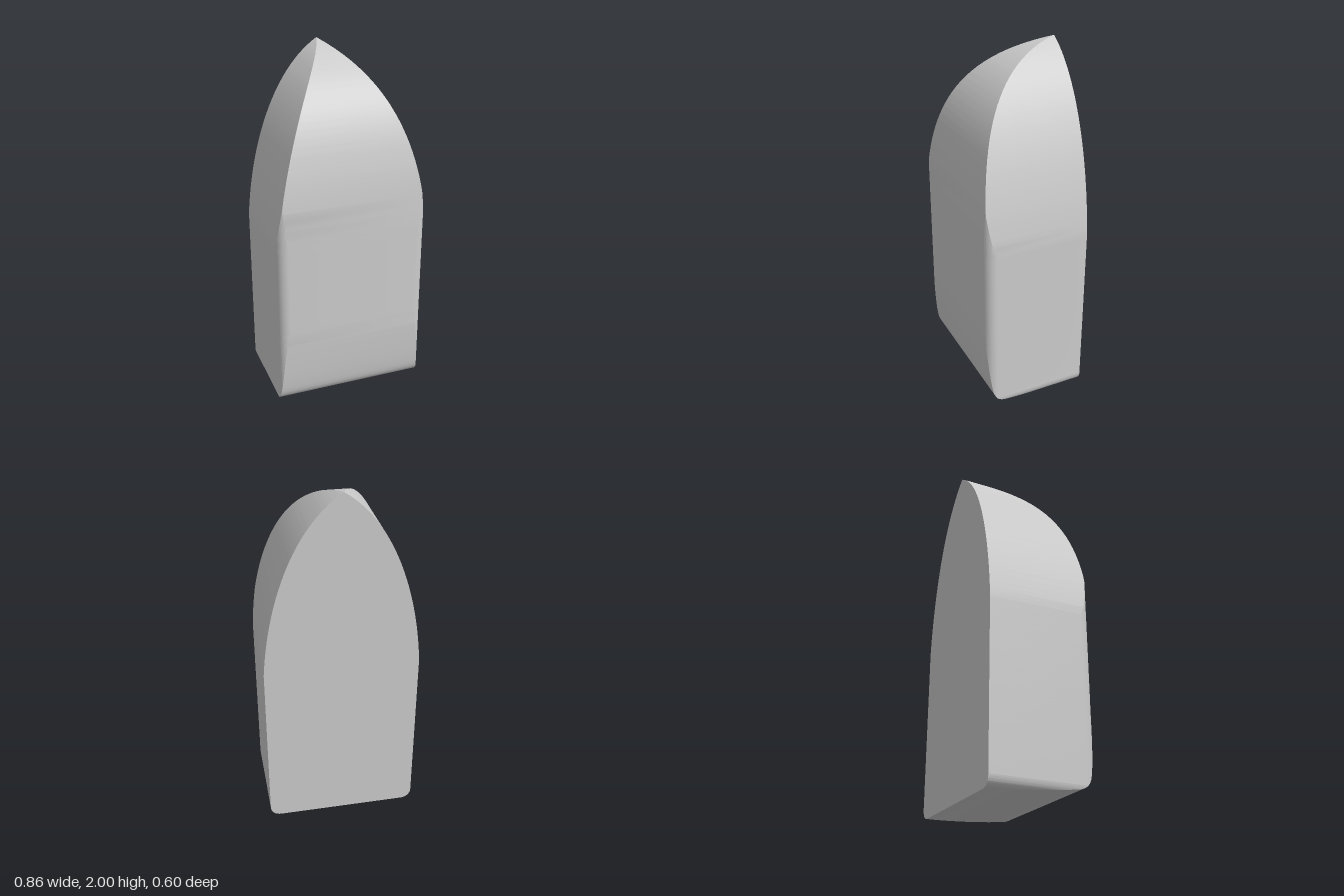
import * as THREE from 'three';
import { toCreasedNormals } from 'three/addons/utils/BufferGeometryUtils.js';

const v = (x, y) => new THREE.Vector2(x, y);
const BACK = -0.3, HALF = 0.43, FRONT = 0.3, R = 0.06, ARC = 8;

// Sample joined curves (value, height) into one rising polyline
function profile(curves, n) {
  return curves.flatMap((c, i) => c.getPoints(n).slice(i ? 1 : 0));
}

// Value of a profile at height y
function at(points, y) {
  for (let i = 1; i < points.length; i++) {
    const a = points[i - 1], b = points[i];
    if (y <= b.y) return a.x + (b.x - a.x) * THREE.MathUtils.clamp((y - a.y) / (b.y - a.y), 0, 1);
  }
  return points[points.length - 1].x;
}

// Pointed arch seen from the front: half width by height
const widths = profile([
  new THREE.QuadraticBezierCurve(v(HALF - R, 0), v(HALF - 0.004, 0.004), v(HALF, R)),
  new THREE.LineCurve(v(HALF, R), v(HALF, 1)),
  new THREE.CubicBezierCurve(v(HALF, 1), v(0.4, 1.4), v(0.27, 1.83), v(0, 2)),
], 28);

// Curved face seen from the side: front z by height
const fronts = profile([
  new THREE.QuadraticBezierCurve(v(BACK, 0), v(0, 0.012), v(0.19, 0.037)),
  new THREE.QuadraticBezierCurve(v(0.19, 0.037), v(0.25, 0.045), v(0.265, 0.11)),
  new THREE.QuadraticBezierCurve(v(0.265, 0.11), v(0.285, 0.2), v(FRONT, 0.5)),
  new THREE.LineCurve(v(FRONT, 0.5), v(FRONT, 1)),
  new THREE.CubicBezierCurve(v(FRONT, 1), v(0.3, 1.55), v(0.2, 1.91), v(BACK, 2)),
], 28);

// Horizontal section: back corner, then the rounded or sharp front corner, mirrored
function section(y) {
  const w = at(widths, y), f = at(fronts, y);
  const a0 = Math.acos(THREE.MathUtils.clamp((w - HALF + R) / R, 0, 1));
  const a1 = Math.asin(THREE.MathUtils.clamp((f - FRONT + R) / R, 0, 1));
  const half = [[w, BACK]];
  for (let i = 0; i <= ARC; i++) {
    const a = a0 + (a1 - a0) * i / ARC;
    half.push(a0 < a1 ? [HALF - R + R * Math.cos(a), FRONT - R + R * Math.sin(a)] : [w, f]);
  }
  const mirrored = half.map(([x, z]) => [-x, z]).reverse();
  return [...half, ...mirrored].map(([x, z]) => new THREE.Vector3(x, y, z));
}

// Skin the sections, leaving out collapsed triangles
function loft(rings) {
  const pos = [], tri = new THREE.Triangle();
  const add = (a, b, c) => {
    if (tri.set(a, b, c).getArea() > 1e-9) for (const p of [a, b, c]) pos.push(p.x, p.y, p.z);
  };
  for (let i = 1; i < rings.length; i++) {
    const lo = rings[i - 1], hi = rings[i], n = lo.length;
    for (let j = 0; j < n; j++) {
      const k = (j + 1) % n;
      add(lo[j], hi[j], lo[k]);
      add(lo[k], hi[j], hi[k]);
    }
  }
  const geo = new THREE.BufferGeometry();
  geo.setAttribute('position', new THREE.Float32BufferAttribute(pos, 3));
  return toCreasedNormals(geo, 0.45);
}

export function createModel() {
  const heights = [...widths, ...fronts].map(p => p.y).sort((a, b) => a - b)
    .filter((y, i, all) => i === 0 || y - all[i - 1] > 1e-5);
  const material = new THREE.MeshStandardMaterial({ color: 0xcccccc });
  const body = new THREE.Mesh(loft(heights.map(section)), material);
  body.name = 'archedBody';
  const group = new THREE.Group();
  group.name = 'pointedArchBlock';
  group.add(body);
  return group;
}
